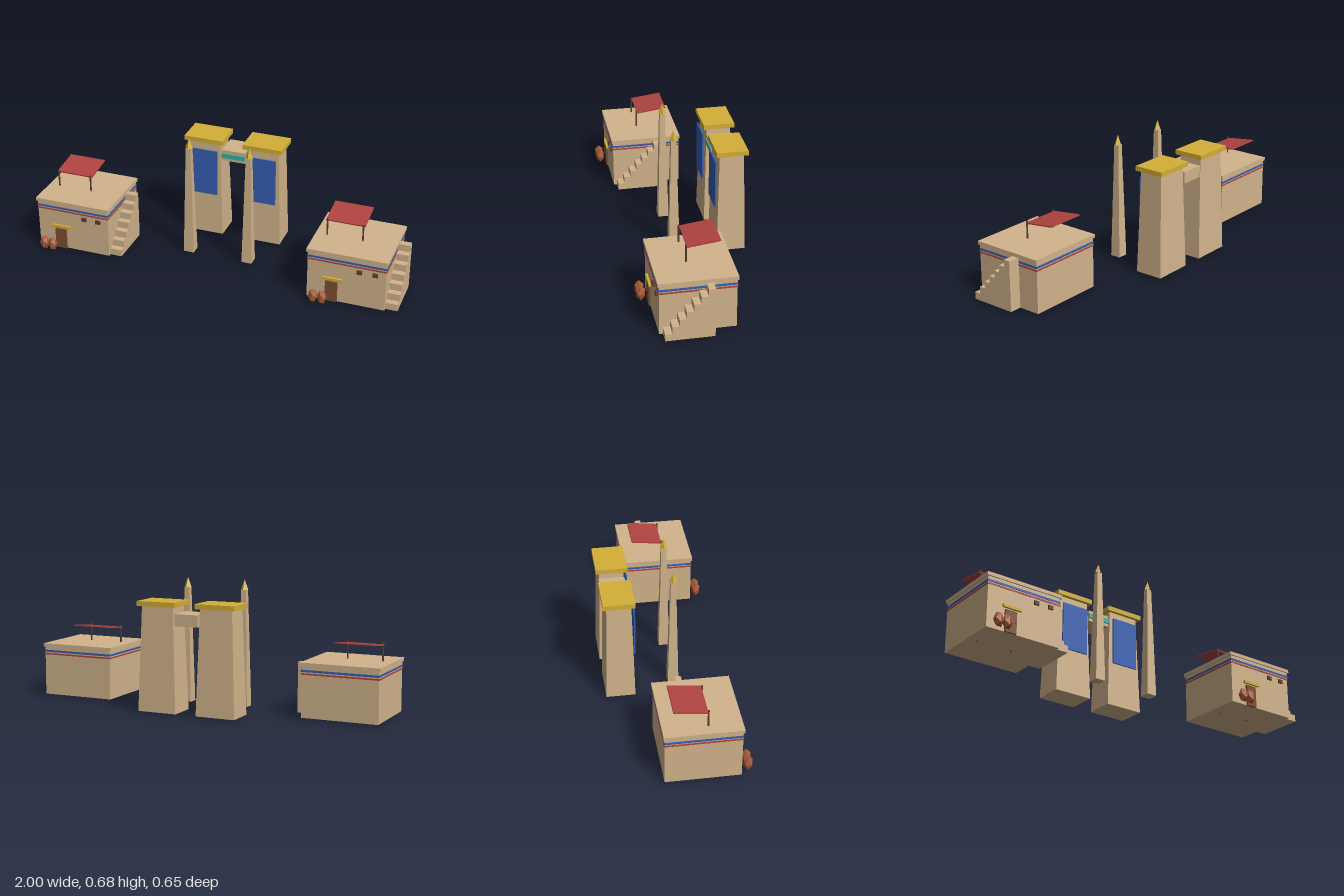
import * as THREE from 'three';

const mat = (name, color) => {
  const m = new THREE.MeshStandardMaterial({ color });
  m.name = name;
  return m;
};

export function createModel() {
  const sand = mat('sandstone', 0xd2b48c);
  const gold = mat('gold', 0xd4af37);
  const blue = mat('blue paint', 0x3560b4);
  const red = mat('red cloth', 0xb04440);
  const teal = mat('teal paint', 0x3cb1a2);
  const wood = mat('door wood', 0x7e4e30);
  const dark = mat('dark wood', 0x5c4033);
  const clay = mat('clay', 0xa85a38);
  clay.flatShading = true;

  const add = (parent, name, geo, material) => {
    const m = new THREE.Mesh(geo, material);
    m.name = name;
    parent.add(m);
    return m;
  };

  // Box given by its limits on each axis
  const box = (parent, name, material, x0, x1, y0, y1, z0, z1) => {
    const m = add(parent, name, new THREE.BoxGeometry(x1 - x0, y1 - y0, z1 - z0), material);
    m.position.set((x0 + x1) / 2, (y0 + y1) / 2, (z0 + z1) / 2);
    return m;
  };

  // Box whose upper end is narrowed by a factor
  const tapered = (w, h, d, factor) => {
    const g = new THREE.BoxGeometry(w, h, d);
    const p = g.attributes.position;
    for (let i = 0; i < p.count; i++) {
      if (p.getY(i) > 0) {
        p.setX(i, p.getX(i) * factor);
        p.setZ(i, p.getZ(i) * factor);
      }
    }
    g.computeVertexNormals();
    return g;
  };

  const base = 0.005;

  // House, with x measured from the centre of its roof
  function house(name, x) {
    const g = new THREE.Group();
    g.name = name;
    g.position.x = x;
    box(g, 'walls', sand, -0.2045, 0.2045, base, 0.271, -0.114, 0.264);
    box(g, 'roof', sand, -0.212, 0.212, 0.27, 0.2885, -0.12, 0.271);
    box(g, 'blueBand', blue, -0.207, 0.207, 0.241, 0.252, -0.1165, 0.2665);
    box(g, 'redBand', red, -0.207, 0.207, 0.2267, 0.2348, -0.1165, 0.2665);

    // Outside staircase
    for (let i = 0; i < 7; i++) {
      const z = 0.246 - i * 0.0347;
      box(g, 'step', sand, 0.2045, 0.269, base, 0.042 + i * 0.038, z - 0.0347, z);
    }

    // Door, lintel, knob and windows
    box(g, 'door', wood, -0.107, -0.043, base, 0.12, 0.26, 0.273);
    box(g, 'doorLintel', gold, -0.121, -0.017, 0.129, 0.143, 0.26, 0.276);
    const knob = add(g, 'doorKnob', new THREE.SphereGeometry(0.003, 6, 4), dark);
    knob.position.set(-0.052, 0.058, 0.275);
    for (const wx of [0.067, 0.148]) {
      box(g, 'window', dark, wx - 0.0135, wx + 0.0135, 0.193, 0.214, 0.26, 0.273);
    }

    // Sloping awning on two posts
    for (const px of [-0.152, 0.036]) {
      const post = add(g, 'awningPost', new THREE.CylinderGeometry(0.0045, 0.0045, 0.3825, 6), dark);
      post.position.set(px, 0.19125, 0.103);
    }
    const awning = add(g, 'awning', new THREE.BoxGeometry(0.206, 0.007, 0.168), red);
    awning.position.set(-0.058, 0.3825, 0.0165);
    awning.rotation.x = 0.126;

    // Clay jars beside the door
    for (const jx of [-0.161, -0.113]) {
      const jar = add(g, 'jar', new THREE.IcosahedronGeometry(0.0264, 0), clay);
      jar.scale.y = 1.6;
      jar.position.set(jx, 0.0385, 0.3025);
    }
    return g;
  }

  // Gate tower with cornice and banner
  function tower(name, x) {
    const g = new THREE.Group();
    g.name = name;
    g.position.x = x;
    const body = add(g, 'towerBody', tapered(0.215, 0.55, 0.153, 0.825), sand);
    body.position.set(0, base + 0.275, -0.2405);
    box(g, 'cornice', gold, -0.1095, 0.1095, 0.555, 0.58, -0.3235, -0.158);
    box(g, 'banner', blue, -0.0775, 0.0775, 0.248, 0.512, -0.1645, -0.157);
    return g;
  }

  // Obelisk with a pointed golden cap
  function obelisk(name, x) {
    const g = new THREE.Group();
    g.name = name;
    g.position.set(x, 0, 0.0475);
    const shaft = add(g, 'shaft', tapered(0.057, 0.618, 0.057, 0.48), sand);
    shaft.position.y = base + 0.309;
    const tip = add(g, 'tip', new THREE.ConeGeometry(0.0215, 0.053, 4).toNonIndexed(), gold);
    tip.geometry.computeVertexNormals();
    tip.position.y = 0.6495;
    return g;
  }

  const model = new THREE.Group();
  model.name = 'desertTemple';
  model.add(house('rightHouse', -0.788), house('leftHouse', 0.731));
  for (const [side, x] of [['right', -0.1975], ['left', 0.1335]]) {
    model.add(tower(side + 'Tower', x), obelisk(side + 'Obelisk', x));
  }

  // Bridge between the towers
  box(model, 'gateLintel', sand, -0.097, 0.033, 0.46, 0.522, -0.309, -0.174);
  box(model, 'gateBand', teal, -0.097, 0.033, 0.477, 0.503, -0.1745, -0.1675);
  return model;
}
